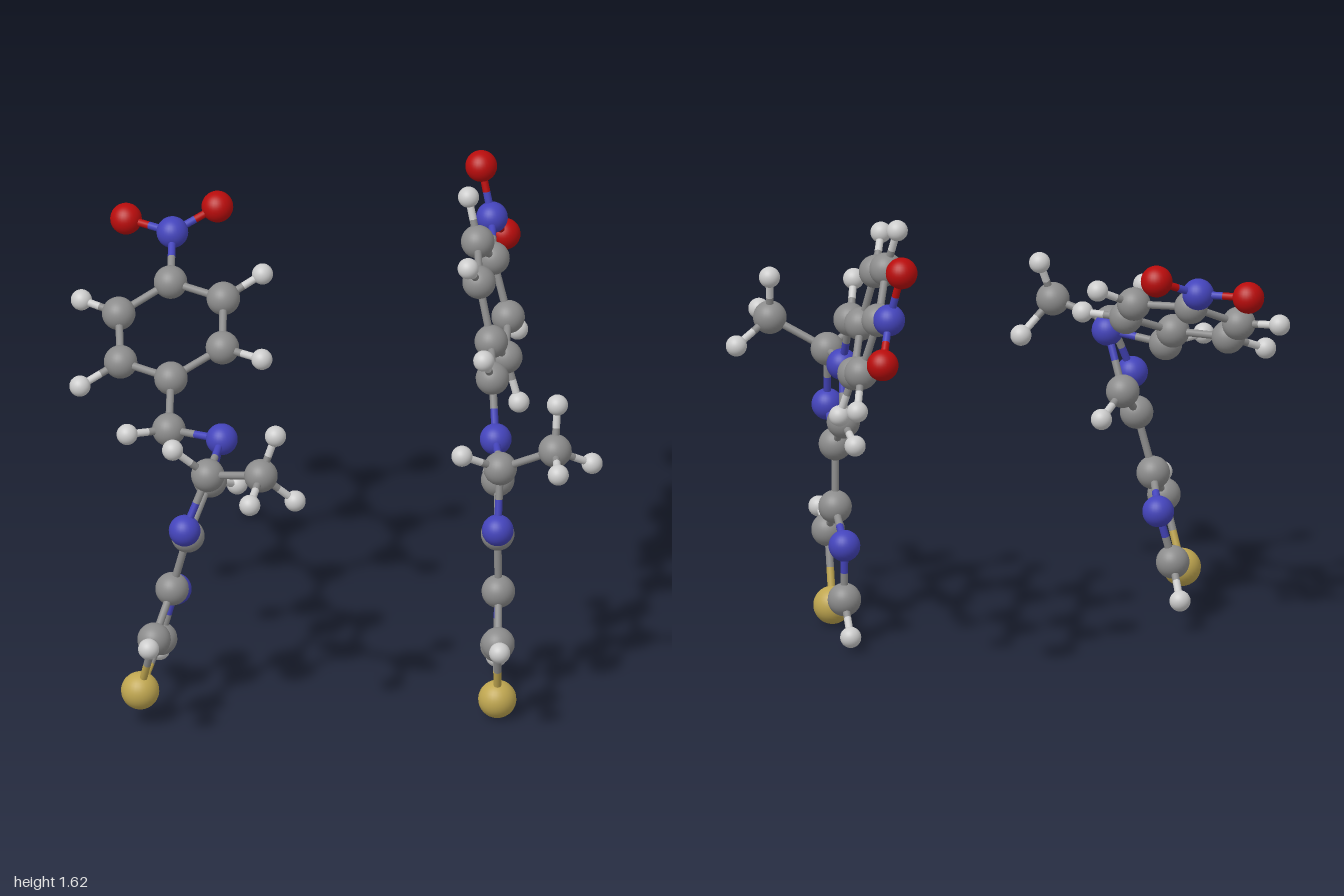
import * as THREE from 'three';

// Element: radius, colour, name
const ELEMENTS = {
  C: { r: 0.057, color: 0x8c8c8c, name: 'carbon' },
  H: { r: 0.036, color: 0xbcbcbc, name: 'hydrogen' },
  N: { r: 0.054, color: 0x4444bb, name: 'nitrogen' },
  O: { r: 0.054, color: 0xb80c0c, name: 'oxygen' },
  S: { r: 0.065, color: 0xbfa650, name: 'sulfur' },
};
const BOND_RADIUS = 0.013;

// Both molecules share the same atoms and bonds; only positions differ.
// Each fragment lists its elements in order, matching the position rows below.
const FRAGMENTS = {
  lowerRing: 'SCHCNCH',
  middleRing: 'CNCHNCH',
  methyl: 'CHHH',
  bridge: 'CH',
  phenylRing: 'CCCCCCHHHH',
  nitro: 'NOO',
};
const BONDS = [
  [0, 1], [1, 2], [1, 3], [3, 4], [4, 5], [5, 6], [5, 0], [3, 7], // lower ring
  [7, 8], [8, 9], [9, 10], [9, 11], [11, 12], [12, 13], [12, 7], // middle ring
  [9, 14], [14, 15], [14, 16], [14, 17], // methyl
  [11, 18], [18, 19], [18, 20], // bridge
  [20, 21], [21, 22], [22, 23], [23, 24], [24, 25], [25, 20], // phenyl ring
  [21, 26], [22, 27], [24, 28], [25, 29], // phenyl hydrogens
  [23, 30], [30, 31], [30, 32], // nitro
];

const LEFT = {
  lowerRing: [[.215, .067, .617], [.174, .311, .682], [.091, .351, .815], [.262, .434, .554],
    [.365, .347, .399], [.35, .152, .415], [.417, .052, .313]],
  middleRing: [[.256, .653, .559], [.162, .747, .698], [.197, .955, .661], [.055, 1.031, .64],
    [.308, .96, .47], [.35, .776, .42], [.422, .731, .286]],
  methyl: [[.312, 1.055, .823], [.23, 1.042, .964], [.452, .977, .84], [.342, 1.207, .793]],
  bridge: [[.352, 1.143, .385], [.27, 1.257, .454]],
  phenylRing: [[.463, 1.183, .214], [.459, 1.38, .146], [.563, 1.44, -.016], [.691, 1.305, -.113],
    [.707, 1.108, -.045], [.589, 1.052, .115],
    [.365, 1.485, .219], [.562, 1.586, -.07], [.799, 1.005, -.124], [.609, .897, .165]],
  nitro: [[.803, 1.36, -.285], [.795, 1.534, -.338], [.909, 1.238, -.365]],
};
const RIGHT = {
  lowerRing: [[-.822, .129, -.009], [-.832, .363, .09], [-.934, .4, .208], [-.699, .482, .002],
    [-.588, .395, -.14], [-.635, .213, -.162], [-.567, .11, -.27]],
  middleRing: [[-.667, .691, .05], [-.766, .788, .177], [-.68, .978, .19], [-.803, 1.093, .159],
    [-.52, 1.01, .038], [-.507, .815, -.051], [-.369, .75, -.092]],
  methyl: [[-.598, 1.034, .39], [-.72, 1.0, .503], [-.481, .921, .424], [-.543, 1.17, .397]],
  bridge: [[-.6, .988, -.164], [-.753, 1.0, -.19]],
  phenylRing: [[-.484, 1.086, -.323], [-.558, 1.09, -.518], [-.463, 1.186, -.67], [-.278, 1.27, -.63],
    [-.19, 1.26, -.441], [-.295, 1.163, -.291],
    [-.706, 1.028, -.545], [-.521, 1.197, -.81], [-.05, 1.326, -.411], [-.236, 1.163, -.14]],
  nitro: [[-.167, 1.367, -.783], [-.245, 1.373, -.948], [-.008, 1.435, -.746]],
};

const ball = new THREE.SphereGeometry(1, 28, 20);
const stick = new THREE.CylinderGeometry(BOND_RADIUS, BOND_RADIUS, 1, 14, 1, true);
const UP = new THREE.Vector3(0, 1, 0);

// Straight rod from a to b
function rod(a, b, material) {
  const mesh = new THREE.Mesh(stick, material);
  const dir = b.clone().sub(a);
  mesh.position.copy(a).add(b).multiplyScalar(0.5);
  mesh.scale.y = dir.length();
  mesh.quaternion.setFromUnitVectors(UP, dir.normalize());
  mesh.name = 'bondHalf';
  return mesh;
}

function molecule(name, positions, materials) {
  const group = new THREE.Group();
  group.name = name;
  const atoms = [];

  // Atoms, grouped by fragment
  for (const [part, symbols] of Object.entries(FRAGMENTS)) {
    const fragment = new THREE.Group();
    fragment.name = part;
    [...symbols].forEach((symbol, i) => {
      const mesh = new THREE.Mesh(ball, materials[symbol]);
      mesh.position.set(...positions[part][i]);
      mesh.scale.setScalar(ELEMENTS[symbol].r);
      mesh.name = ELEMENTS[symbol].name;
      fragment.add(mesh);
      atoms.push({ symbol, p: mesh.position });
    });
    group.add(fragment);
  }

  // Bonds, each half in the colour of its atom
  const bonds = new THREE.Group();
  bonds.name = 'bonds';
  for (const [i, j] of BONDS) {
    const a = atoms[i], b = atoms[j];
    const mid = a.p.clone().lerp(b.p, 0.5);
    bonds.add(rod(a.p, mid, materials[a.symbol]), rod(mid, b.p, materials[b.symbol]));
  }
  group.add(bonds);
  return group;
}

export function createModel() {
  const materials = {};
  for (const [symbol, e] of Object.entries(ELEMENTS)) {
    materials[symbol] = new THREE.MeshStandardMaterial({ color: e.color });
  }
  const model = new THREE.Group();
  model.name = 'moleculePair';
  model.add(molecule('leftMolecule', LEFT, materials), molecule('rightMolecule', RIGHT, materials));
  return model;
}
